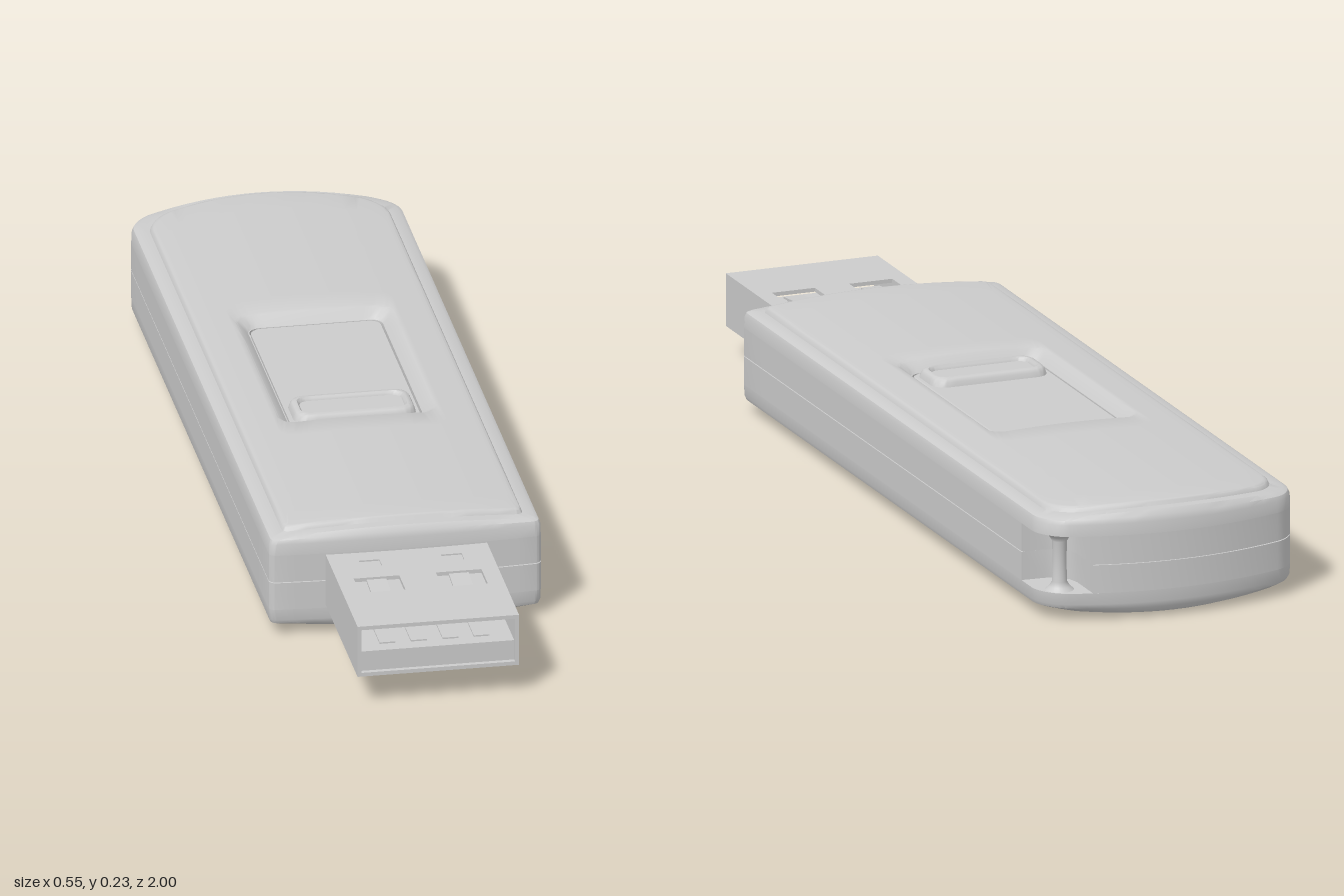
import * as THREE from 'three';
import { toCreasedNormals } from 'three/addons/utils/BufferGeometryUtils.js';

const MID = 0.116; // height of the seam between the two shells
const grey = new THREE.MeshStandardMaterial({ color: 0xcccccc });

// Rounded rectangle in (x, z) with bowed ends; every ring has the same point count
function ring(hw, zB, zF, rB, rF, bowB = 0, bowF = 0) {
  const corners = [[1, zF - rF, rF, 0], [1, zB + rB, rB, 1], [-1, zB + rB, rB, 2], [-1, zF - rF, rF, 3]];
  const arcs = corners.map(([s, cz, r, q]) => Array.from({ length: 9 }, (_, i) => {
    const t = (q + i / 8) * Math.PI / 2;
    return [s * (hw - r) + r * Math.sin(t), cz + r * Math.cos(t)];
  }));
  const pts = [];
  arcs.forEach((arc, q) => {
    const bow = (x) => (q === 0 || q === 3 ? bowF : -bowB) * (1 - (x / hw) ** 2);
    arc.forEach(([x, z]) => pts.push([x, z + bow(x)]));
    const a = arc[8], b = arcs[(q + 1) % 4][0];
    for (let i = 1; i < 14; i++) {
      const x = a[0] + (b[0] - a[0]) * i / 14, z = a[1] + (b[1] - a[1]) * i / 14;
      pts.push([x, z + (q % 2 ? bow(x) : 0)]);
    }
  });
  return pts;
}

const outline = (d) => ring(0.275 - d, -0.94 + d, 0.64 - d, 0.052, 0.014, 0.06, 0.01);
const spine = ring(0.0005, -0.6, 0.3, 0.0002, 0.0002);
const mix = (a, b, t) => a.map((p, i) => [p[0] + (b[i][0] - p[0]) * t, p[1] + (b[i][1] - p[1]) * t]);
const crown = (x) => 0.011 * Math.max(0, 1 - (x / 0.24) ** 2);

// Skin a stack of [points, height, crown amount]; flip mirrors it about the seam
function loft(rings, flip = false) {
  const pos = [], idx = [], n = rings[0][0].length;
  rings.forEach(([pts, y, c = 0], k) => pts.forEach(([x, z], j) => {
    const h = y + c * crown(x);
    pos.push(x, flip ? 2 * MID - h : h, z);
    if (k === 0) return;
    const a = (k - 1) * n + j, b = (k - 1) * n + (j + 1) % n, d = k * n + j, e = k * n + (j + 1) % n;
    if (flip) idx.push(a, e, b, a, d, e);
    else idx.push(a, b, e, a, e, d);
  }));
  const g = new THREE.BufferGeometry();
  g.setAttribute('position', new THREE.Float32BufferAttribute(pos, 3));
  g.setIndex(idx);
  return toCreasedNormals(g, 0.6);
}

// Flat (x, z) shape extruded from y0 up to y1
function slab(shape, y0, y1) {
  const g = new THREE.ExtrudeGeometry(shape, { depth: y1 - y0, bevelEnabled: false, curveSegments: 6 });
  g.rotateX(Math.PI / 2).translate(0, y1, 0);
  return toCreasedNormals(g, 0.6);
}

const toShape = (pts) => new THREE.Shape(pts.map((p) => new THREE.Vector2(p[0], p[1])));
const rect = (x, z, w, d) => toShape([[x - w / 2, z - d / 2], [x + w / 2, z - d / 2], [x + w / 2, z + d / 2], [x - w / 2, z + d / 2]]);

// Body outline with the lanyard notch cut from the back left corner
function notched(d) {
  const out = [];
  let cut = false;
  for (const p of outline(d)) {
    if (p[0] > 0.18 && p[1] < -0.835) {
      if (!cut) out.push([0.275 - d, -0.835], [0.225, -0.838], [0.2, -0.848], [0.184, -0.866], [0.178, -0.89], [0.178, -0.974 + d]);
      cut = true;
    } else out.push(p);
  }
  return toShape(out);
}

export function createModel() {
  const model = new THREE.Group();
  const add = (name, geo, parent = model) => {
    const m = new THREE.Mesh(geo, grey);
    m.name = name;
    parent.add(m);
    return m;
  };
  const box = (name, w, h, d, x, y, z, parent) => {
    const m = add(name, new THREE.BoxGeometry(w, h, d), parent);
    m.position.set(x, y, z);
    return m;
  };

  // Shell: rounded edge, narrow ledge, then the raised crowned panel
  const panel = outline(0.042);
  const shell = [
    [spine, 0.175], [outline(0), 0.175], [outline(0.001), 0.198, 0.1], [outline(0.004), 0.206, 0.5],
    [outline(0.012), 0.2105, 1], [outline(0.032), 0.211, 1], [outline(0.035), 0.218, 1],
    [outline(0.038), 0.2205, 1], [panel, 0.221, 1],
  ];
  const fill = (target) => [1, 2, 3, 4, 5, 6, 7, 8].map((i) => [mix(panel, target, i / 8), 0.221, 1]);

  // Top shell with the sloped slider recess
  const slot = (d) => ring(0.16 - d, -0.4 + d, 0.13 - d, 0.034 - d * 0.4, 0.034 - d * 0.4);
  add('topShell', loft([
    ...shell, ...fill(slot(0)), [slot(0.004), 0.2195, 0.9], [slot(0.018), 0.21, 0.3], [slot(0.023), 0.207],
    [slot(0.025), 0.207], [slot(0.025), 0.198], [spine.map(([x, z]) => [x, z * 0.2 - 0.1]), 0.198],
  ]));
  add('bottomShell', loft([...shell, ...fill(spine)], true));

  // Side walls with the seam groove between the halves
  add('lowerWall', slab(notched(0), 2 * MID - 0.175, MID - 0.001));
  add('seam', slab(notched(0.004), MID - 0.001, MID + 0.001));
  add('upperWall', slab(notched(0), MID + 0.001, 0.175));

  // Lanyard pin, flared at both ends
  const pin = add('lanyardPin', new THREE.LatheGeometry(
    [[0.03, 0.056], [0.021, 0.064], [0.015, 0.074], [0.014, 0.116], [0.015, 0.158], [0.021, 0.168], [0.03, 0.176]]
      .map((p) => new THREE.Vector2(p[0], p[1])), 24));
  pin.position.set(0.228, 0, -0.92);

  // Slider plate and its thumb grip with a dished top
  const slider = new THREE.Group();
  slider.name = 'slider';
  model.add(slider);
  const plate = (d) => ring(0.132 - d, -0.372 + d, 0.102 - d, 0.022, 0.022);
  add('sliderPlate', loft([[plate(0), 0.195], [plate(0), 0.206], [plate(0.002), 0.208],
    [spine.map(([x, z]) => [x, z * 0.2 - 0.1]), 0.208]], false), slider);
  const grip = (d) => ring(0.124 - d, -0.012 + d, 0.1 - d, 0.03 - d * 0.5, 0.03 - d * 0.5);
  const gripLine = ring(0.07, 0.0435, 0.0445, 0.0004, 0.0004);
  add('thumbGrip', loft([[grip(0), 0.207], [grip(0.003), 0.217], [grip(0.007), 0.223], [grip(0.011), 0.225],
    [grip(0.016), 0.225], [grip(0.019), 0.222], [grip(0.021), 0.217], [gripLine, 0.217]]), slider);

  // Plug: hollow metal sleeve with windows and dents in both faces
  const plug = new THREE.Group();
  plug.name = 'plug';
  model.add(plug);
  const face = rect(0, 0.81, 0.326, 0.38);
  for (const s of [-1, 1]) {
    face.holes.push(rect(s * 0.083, 0.805, 0.092, 0.07));
    face.holes.push(rect(s * 0.083, 0.702, 0.042, 0.03));
  }
  add('sleeveTop', slab(face, 0.164, 0.172), plug);
  add('sleeveBottom', slab(face, 0.063, 0.071), plug);
  for (const s of [-1, 1]) {
    box('sleeveSide', 0.008, 0.093, 0.38, s * 0.159, 0.1175, 0.81, plug);
    for (const [y, up] of [[0.166, 1], [0.069, -1]]) {
      box('dent', 0.042, 0.006, 0.03, s * 0.083, y, 0.702, plug);
      const spring = box('springTab', 0.04, 0.004, 0.076, s * 0.083, y - up * 0.004, 0.805, plug);
      spring.rotation.x = up * 0.1;
    }
  }

  // Contact tongue filling the lower half of the sleeve
  box('tongue', 0.31, 0.042, 0.345, 0, 0.092, 0.8175, plug);
  for (const x of [-0.095, -0.032, 0.032, 0.095])
    box('contact', 0.032, 0.004, 0.24, x, 0.114, 0.84, plug);

  return model;
}
